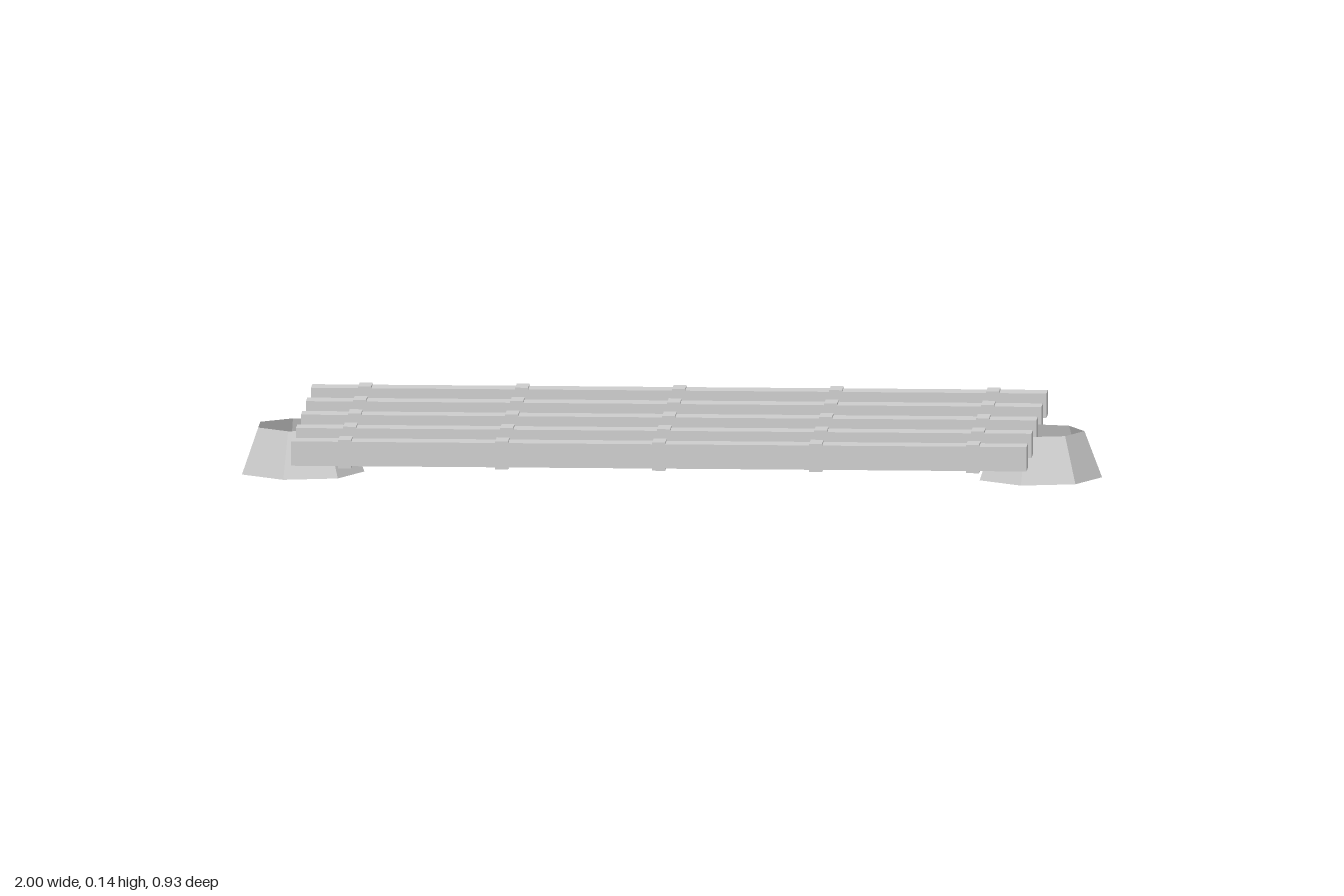
import * as THREE from 'three';

export function createModel() {
  const model = new THREE.Group();
  const grey = new THREE.MeshStandardMaterial({ color: 0xcccccc, flatShading: true, side: THREE.DoubleSide });
  grey.name = 'light grey';

  const midX = -0.01;
  const add = (parent, name, geometry, x, y, z) => {
    const mesh = new THREE.Mesh(geometry, grey);
    mesh.name = name;
    mesh.position.set(x, y, z);
    parent.add(mesh);
  };

  // Five parallel bars, each with five slightly thicker collars
  const barGeometry = new THREE.BoxGeometry(1.71, 0.057, 0.058);
  const collarGeometry = new THREE.BoxGeometry(0.03, 0.066, 0.066);
  for (let i = -2; i <= 2; i++) {
    const rail = new THREE.Group();
    rail.name = 'rail';
    rail.position.set(midX, 0.108, i * 0.215);
    add(rail, 'bar', barGeometry, 0, 0, 0);
    for (let j = -2; j <= 2; j++) add(rail, 'collar', collarGeometry, j * 0.365, 0, 0);
    model.add(rail);
  }

  // Open seven-sided tapered feet, both with a corner towards +x
  const footGeometry = new THREE.CylinderGeometry(0.107, 0.148, 0.108, 7, 1, true);
  footGeometry.rotateY(Math.PI / 2);
  for (const [name, x] of [['leftFoot', 0.848], ['rightFoot', -0.867]]) {
    add(model, name, footGeometry, x, 0.054, 0);
  }

  return model;
}
